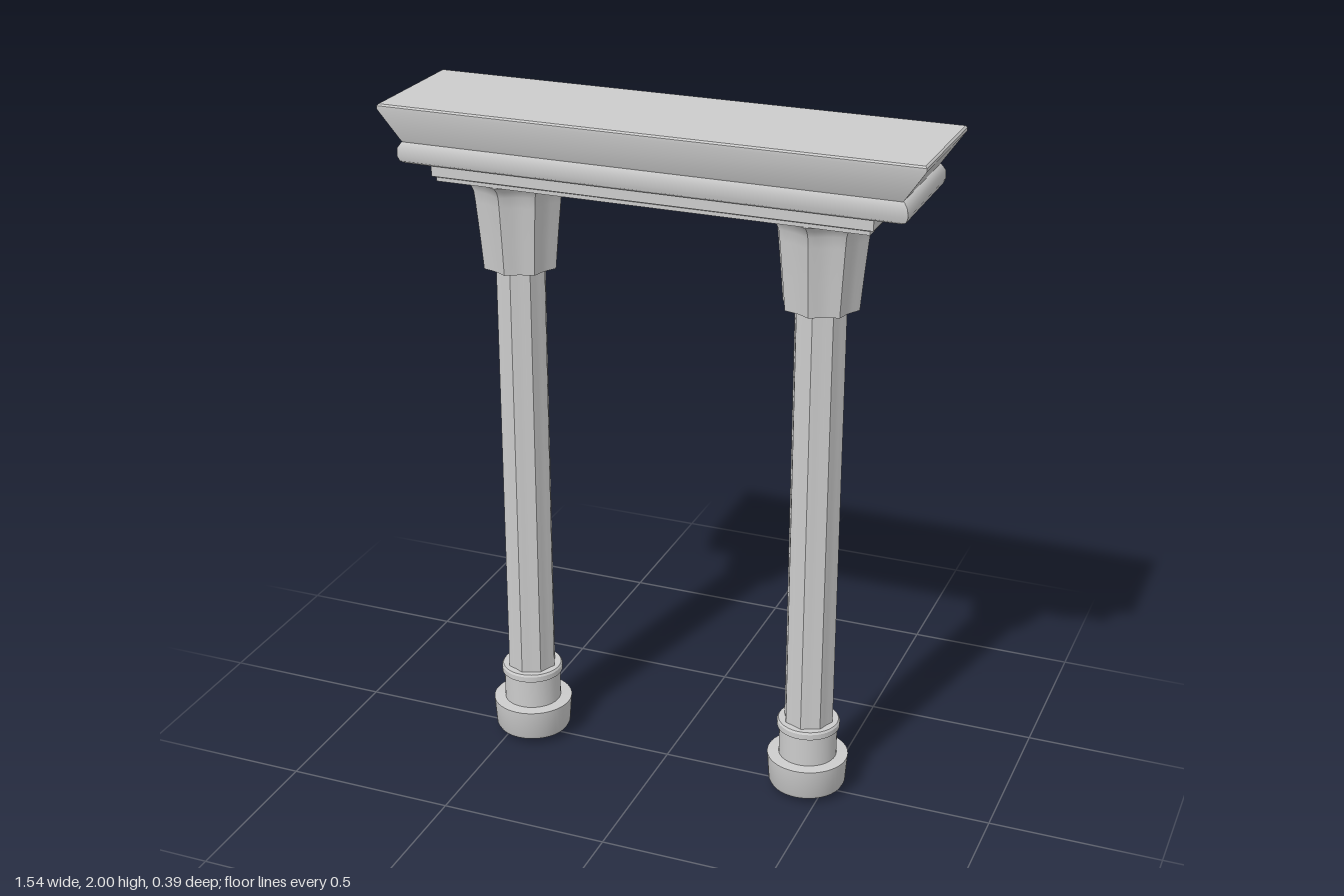
import * as THREE from 'three';
import { toCreasedNormals } from 'three/addons/utils/BufferGeometryUtils.js';

const material = new THREE.MeshStandardMaterial({ color: 0xcccccc });

function part(name, geometry, crease = 0.45) {
  const mesh = new THREE.Mesh(toCreasedNormals(geometry, crease), material);
  mesh.name = name;
  return mesh;
}

// Rectangular moulding; rows from top to bottom: [half x, y, half z]
function moulding(name, rows) {
  const n = rows.length - 1;
  const geometry = new THREE.CylinderGeometry(1, 1, n, 4, n, false, Math.PI / 4);
  const p = geometry.attributes.position;
  for (let i = 0; i < p.count; i++) {
    const [hx, y, hz] = rows[Math.round(n / 2 - p.getY(i))];
    p.setXYZ(i, Math.sign(p.getX(i)) * hx, y, Math.sign(p.getZ(i)) * hz);
  }
  return part(name, geometry, 0.6);
}

// Turned profile, bottom to top, optionally cut by concave flutes
function turned(name, profile, depth = 0, flutes = 8) {
  const points = profile.map(([r, y]) => new THREE.Vector2(r, y));
  const geometry = new THREE.LatheGeometry(points, 48);
  const p = geometry.attributes.position;
  for (let i = 0; i < p.count; i++) {
    const angle = Math.atan2(p.getX(i), p.getZ(i));
    const s = 1 - depth * Math.abs(Math.sin(angle * flutes / 2));
    p.setXYZ(i, p.getX(i) * s, p.getY(i), p.getZ(i) * s);
  }
  return part(name, geometry);
}

function column(name, x) {
  const group = new THREE.Group();
  group.name = name;
  group.position.x = x;
  group.add(
    // Foot, drum and collar
    turned('base', [
      [0, 0], [0.074, 0], [0.074, 0.02], [0.108, 0.02], [0.113, 0.03], [0.119, 0.115],
      [0.085, 0.117], [0.085, 0.205], [0.092, 0.209], [0.092, 0.226], [0.088, 0.232], [0, 0.232],
    ]),
    turned('shaft', [[0.074, 0.22], [0.074, 1.53]], 0.09),
    // Fluted bell flaring out under the beam
    turned('capital', [
      [0, 1.52], [0.109, 1.52], [0.118, 1.62], [0.128, 1.72], [0.132, 1.752],
      [0.14, 1.77], [0.155, 1.785], [0.155, 1.795], [0, 1.795],
    ], 0.12),
  );
  return group;
}

export function createModel() {
  const model = new THREE.Group();
  model.name = 'portico';
  model.add(column('leftColumn', 0.445), column('rightColumn', -0.445));

  // Stepped beam carried by both columns
  const beam = new THREE.Group();
  beam.name = 'entablature';
  beam.add(
    moulding('cornice', [
      [0.766, 2, 0.192], [0.771, 1.995, 0.196], [0.771, 1.986, 0.196],
      [0.712, 1.9, 0.178], [0.705, 1.89, 0.172],
    ]),
    moulding('bead', [
      [0.7, 1.9, 0.17], [0.712, 1.893, 0.176], [0.722, 1.878, 0.181],
      [0.724, 1.855, 0.181], [0.718, 1.84, 0.177], [0.705, 1.834, 0.17],
    ]),
    moulding('step', [[0.63, 1.836, 0.163], [0.63, 1.803, 0.163], [0.619, 1.799, 0.155], [0.619, 1.788, 0.155]]),
  );
  model.add(beam);
  return model;
}
